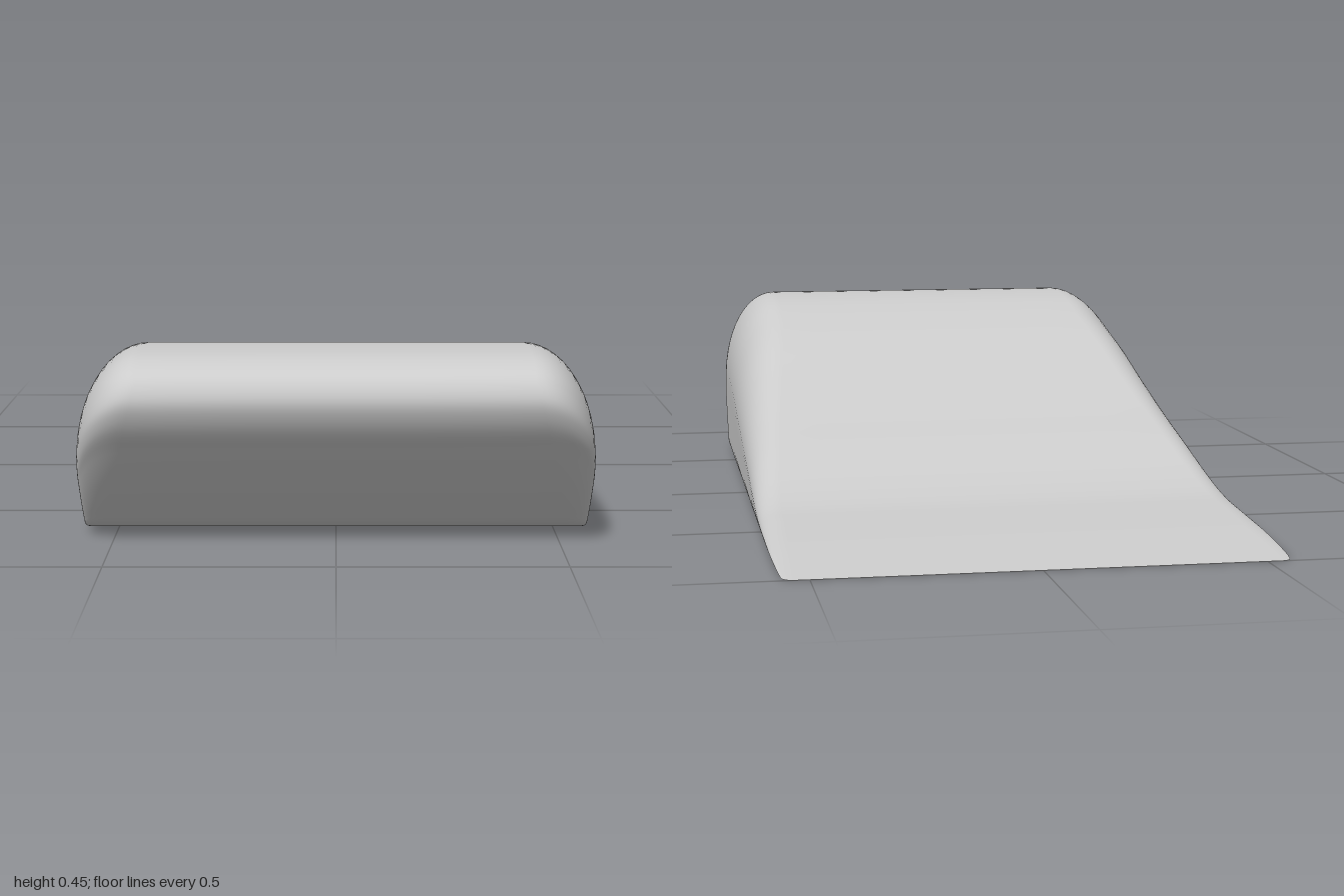
import * as THREE from 'three';

// Centre profile as (z, y): back tip, over the top, round the nose, down to the front lip
const PROFILE = [
  [-1, 0], [-0.8, 0.025], [-0.6, 0.045], [-0.5, 0.056], [-0.4, 0.079], [-0.3, 0.111],
  [-0.2, 0.146], [0, 0.212], [0.2, 0.285], [0.4, 0.362], [0.6, 0.42], [0.7, 0.438],
  [0.82, 0.445], [0.92, 0.435], [0.98, 0.405], [1, 0.36], [0.985, 0.31], [0.93, 0.235],
  [0.86, 0.15], [0.78, 0.065], [0.74, 0.03], [0.68, 0.008], [0.61, 0],
];

// Half cross-section steps: flat top, rounded shoulder, straight wall to the ground.
// across: 0..1 over the flat, then shoulder = sine of the corner; f = height kept
function sectionSteps() {
  const steps = [];
  for (const flat of [0, 0.4, 0.8]) steps.push({ flat, shoulder: 0, f: 1 });
  for (let k = 0; k <= 14; k++) {
    const a = (k / 14) * Math.PI / 2;
    steps.push({ flat: 1, shoulder: Math.sin(a), f: 0.45 + 0.55 * Math.cos(a) });
  }
  for (const f of [0.35, 0.25, 0.15, 0.09, 0.05, 0.02, 0]) steps.push({ flat: 1, shoulder: 1, f });
  return steps;
}

function shellGeometry() {
  const curve = new THREE.CatmullRomCurve3(
    PROFILE.map(([z, y]) => new THREE.Vector3(0, y, z)), false, 'centripetal');
  const half = sectionSteps();
  const row = [
    ...half.slice(1).reverse().map((s) => ({ ...s, side: -1 })),
    ...half.map((s) => ({ ...s, side: 1 })),
  ];
  const columns = 120, width = 0.573;
  const positions = [], index = [];
  let base = -0.95;

  for (let i = 0; i <= columns; i++) {
    const p = curve.getPoint(i / columns);
    const y0 = Math.max(0, p.y);
    // foot of the side wall, held back beneath the nose
    const foot = p.z < 0.45 ? p.z : 0.45 + 0.2 * Math.tanh((p.z - 0.45) / 0.2);
    base = Math.max(base, foot);
    const radius = 0.04 + 0.11 * Math.min(1, y0 / 0.4);
    for (const s of row) {
      const y = y0 * s.f;
      const tuck = 0.014 * s.shoulder * Math.max(0, 1 - y / 0.025) ** 2;
      const x = (width - radius) * s.flat + radius * s.shoulder - tuck;
      positions.push(s.side * x, y, base + (p.z - base) * s.f);
    }
  }

  const n = row.length;
  for (let i = 0; i < columns; i++) {
    for (let j = 0; j < n - 1; j++) {
      const a = i * n + j, b = a + n;
      index.push(a, b, a + 1, b, b + 1, a + 1);
    }
  }
  const geometry = new THREE.BufferGeometry();
  geometry.setAttribute('position', new THREE.Float32BufferAttribute(positions, 3));
  geometry.setIndex(index);
  geometry.computeVertexNormals();
  return geometry;
}

export function createModel() {
  const group = new THREE.Group();
  group.name = 'wedge';
  // Thin open-bottomed shell
  const shell = new THREE.Mesh(
    shellGeometry(),
    new THREE.MeshStandardMaterial({ color: 0xcccccc, side: THREE.DoubleSide }));
  shell.name = 'wedgeShell';
  group.add(shell);
  return group;
}
